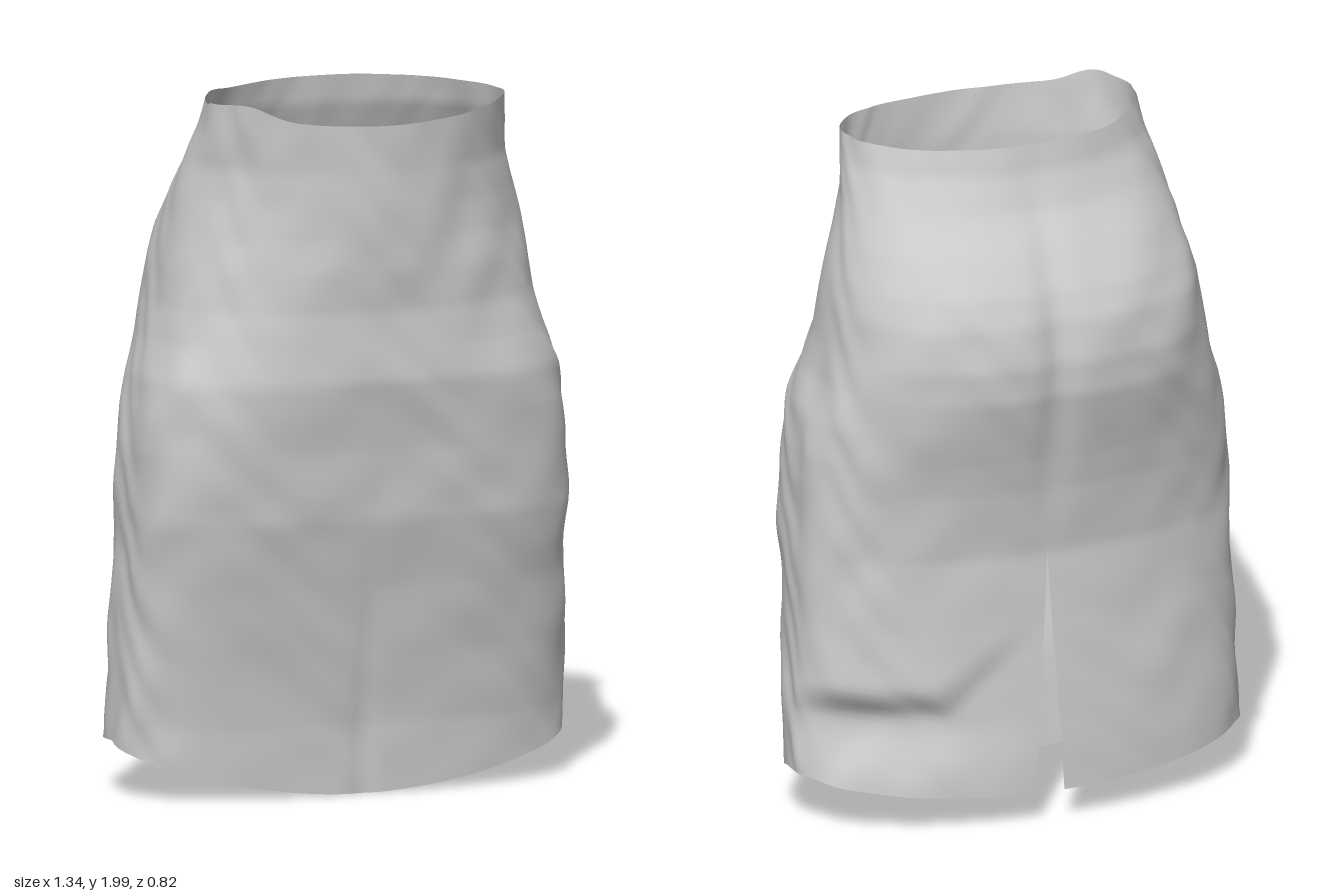
import * as THREE from 'three';
import { mergeVertices } from 'three/addons/utils/BufferGeometryUtils.js';

// Cross-sections: height, half width, front z, back z, z of widest point, front and back squareness
const LEVELS = [
  [0.00, 0.670, 0.200, -0.325, -0.04, 2.8, 2.2],
  [0.20, 0.670, 0.215, -0.322, -0.04, 2.9, 2.2],
  [0.40, 0.664, 0.246, -0.316, -0.04, 3.1, 2.15],
  [0.60, 0.652, 0.282, -0.305, -0.04, 3.5, 2.1],
  [0.80, 0.646, 0.324, -0.300, -0.04, 3.9, 2.1],
  [1.00, 0.638, 0.346, -0.330, -0.03, 3.8, 2.1],
  [1.10, 0.628, 0.364, -0.352, -0.02, 3.5, 2.15],
  [1.20, 0.612, 0.380, -0.378, 0.00, 3.1, 2.25],
  [1.30, 0.577, 0.378, -0.403, 0.01, 2.7, 2.4],
  [1.40, 0.554, 0.377, -0.408, 0.02, 2.4, 2.55],
  [1.52, 0.536, 0.393, -0.390, 0.03, 2.1, 2.6],
  [1.60, 0.520, 0.398, -0.360, 0.04, 1.9, 2.55],
  [1.70, 0.497, 0.403, -0.302, 0.05, 1.8, 2.4],
  [1.80, 0.468, 0.405, -0.235, 0.07, 1.8, 2.2],
  [1.90, 0.447, 0.408, -0.195, 0.12, 1.85, 2.0],
  [2.00, 0.434, 0.410, -0.178, 0.15, 1.9, 1.9],
];

const bump = (v, centre, width) => Math.exp(-(((v - centre) / width) ** 2));

function sectionAt(y) {
  let k = 0;
  while (k < LEVELS.length - 2 && LEVELS[k + 1][0] < y) k++;
  const a = LEVELS[k], b = LEVELS[k + 1];
  const t = THREE.MathUtils.clamp((y - a[0]) / (b[0] - a[0]), 0, 1);
  return a.map((v, i) => v + (b[i] - v) * t);
}

// Curved hem and waist edges; angle 0 is the front
function hemAt(s, c) {
  return c > 0 ? 0.155 * s * s : 0.09 + 0.065 * s * s;
}
function waistAt(s, c) {
  const edge = c > 0 ? 1.97 - 0.035 * c * c : 1.97 + 0.012 * c * c;
  return edge + (c > 0 ? 0.03 : 0.015) * bump(s, -0.87, 0.15);
}

// Shallow irregular cloth wrinkles, mostly running across
function wrinkle(a, y) {
  return 0.004 * Math.sin(15 * y + 2.5 * Math.sin(4 * a + 1) - 3 * a)
    + 0.003 * Math.sin(29 * y + 3 * Math.sin(7 * a + 4 * y) + 5 * a)
    + 0.003 * Math.sin(13 * a + 3 * Math.sin(9 * y + 2));
}

function clothPoint(u, t) {
  const base = (u * 2 - 1) * Math.PI;
  const yRough = THREE.MathUtils.lerp(hemAt(Math.sin(base), Math.cos(base)), 1.98, t);
  // Back slit narrows to nothing at its top
  const gap = 0.04 * Math.max(0, (0.8 - yRough) / 0.7);
  const a = base * (1 - gap / 0.65 / Math.PI);
  const s = Math.sin(a), c = Math.cos(a);
  const y = THREE.MathUtils.lerp(hemAt(s, c), waistAt(s, c), t);
  const [, w, front, back, zc, nf, nb] = sectionAt(y);
  let n = c > 0 ? nf : nb;
  if (c < 0 && s > 0) {
    // Left back panel tucks in below a diagonal fold and flares again at the hem
    const foldY = Math.max(0.36, 0.62 - 0.55 * s);
    const above = THREE.MathUtils.smoothstep(y, foldY - 0.03, foldY + 0.08);
    const flare = 1 - THREE.MathUtils.smoothstep(y, 0.1, 0.32);
    n = THREE.MathUtils.lerp(1.5, nb, Math.max(above, flare));
  }
  let r = (Math.abs(s) ** n + Math.abs(c) ** n) ** (-1 / n);
  r *= 1 + wrinkle(a, y) * Math.min(1, Math.abs(Math.PI - Math.abs(a)) * 4);
  const x = w * s * r;
  let z = zc + (c > 0 ? front - zc : zc - back) * c * r;
  // Centre cleft of the seat, or faint front centre seam
  if (c < 0) z += 0.024 * bump(x, 0, 0.05) * bump(y, 1.4, 0.4);
  else z -= 0.01 * bump(x, 0, 0.03) * bump(y, 0.1, 0.5);
  return [x, y, z];
}

export function createModel() {
  const group = new THREE.Group();
  group.name = 'skirt';
  const cols = 160, rows = 100;
  const positions = [], indices = [];
  for (let j = 0; j <= rows; j++) {
    for (let i = 0; i <= cols; i++) positions.push(...clothPoint(i / cols, j / rows));
  }
  for (let j = 0; j < rows; j++) {
    for (let i = 0; i < cols; i++) {
      const a = j * (cols + 1) + i, d = a + cols + 1;
      indices.push(a, a + 1, d, a + 1, d + 1, d);
    }
  }
  let geometry = new THREE.BufferGeometry();
  geometry.setAttribute('position', new THREE.Float32BufferAttribute(positions, 3));
  geometry.setIndex(indices);
  // Close the back seam above the slit
  geometry = mergeVertices(geometry, 1e-4);
  geometry.computeVertexNormals();
  const cloth = new THREE.Mesh(
    geometry,
    new THREE.MeshStandardMaterial({ color: 0xcccccc, side: THREE.DoubleSide })
  );
  cloth.name = 'skirtCloth';
  group.add(cloth);
  return group;
}
